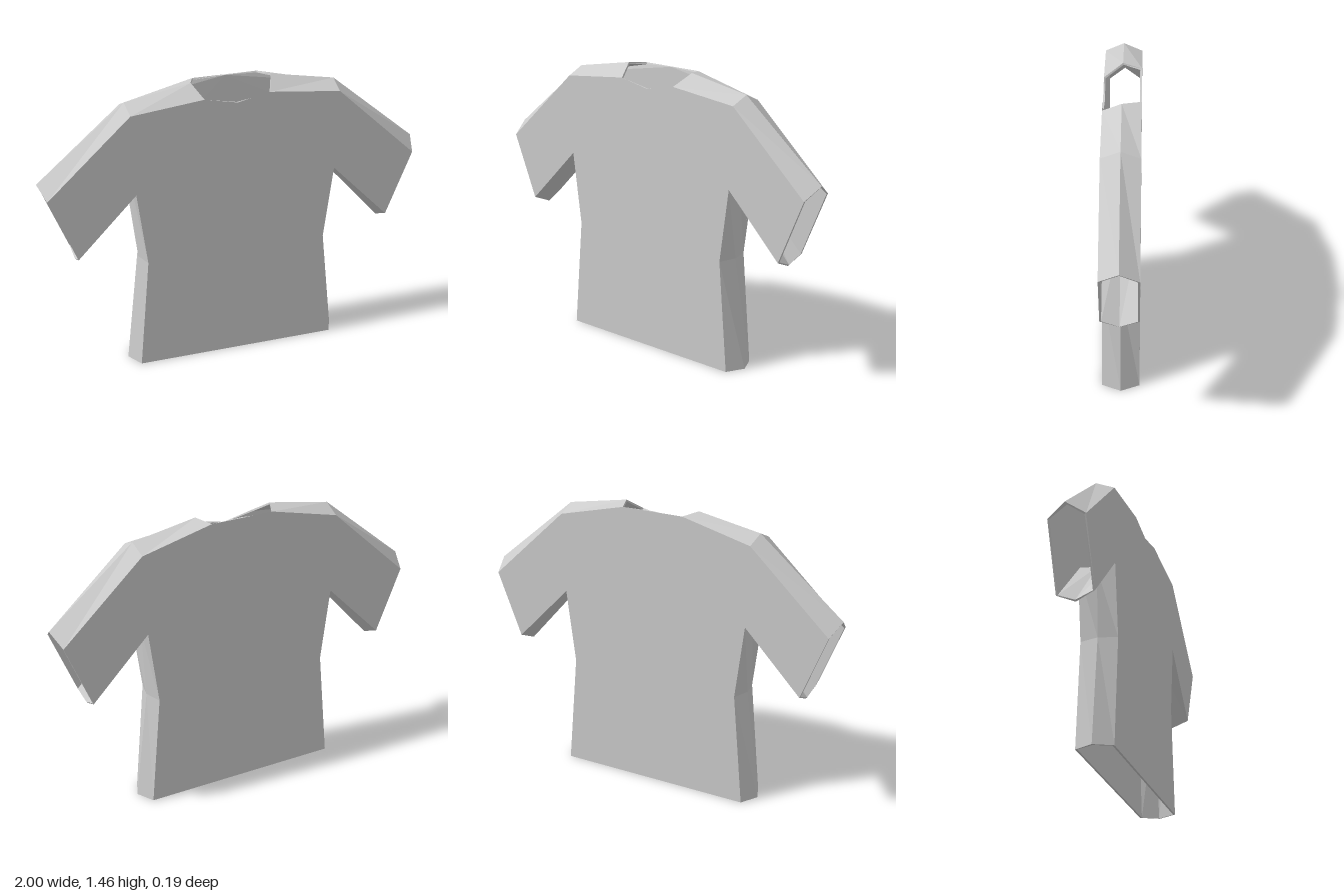
import * as THREE from 'three';

const DEPTH = 0.095; // half distance between the front and back panels
const WALL = 0.01;   // cloth thickness

// One half of the outline: [panel x, panel y, side ridge x, side ridge y]
const HALF = [
  [0.17, 1.40, 0.21, 1.46],   // neck
  [0.545, 1.36, 0.55, 1.40],  // shoulder
  [0.97, 0.975, 1.0, 1.035],  // cuff top
  [0.83, 0.645, 0.82, 0.605], // cuff bottom
  [0.527, 0.947, 0.52, 0.932],// armpit
  [0.475, 0.57, 0.50, 0.57],  // waist
  [0.525, 0, 0.57, 0],        // hem
];
const BACK_NECK = 1.45;

function shellGeometry(points, triangles) {
  const g = new THREE.BufferGeometry();
  g.setAttribute('position', new THREE.Float32BufferAttribute(points.flatMap(p => p.toArray()), 3));
  g.setIndex(triangles.flat());
  g.computeVertexNormals();
  return g;
}

export function createModel() {
  const group = new THREE.Group();
  group.name = 'shirt';
  const material = new THREE.MeshStandardMaterial({ color: 0xcccccc, flatShading: true });
  const add = (name, geometry) => {
    const flat = geometry.toNonIndexed();
    flat.computeVertexNormals();
    const mesh = new THREE.Mesh(flat, material);
    mesh.name = name;
    group.add(mesh);
  };

  // Full outline, clockwise from the front, closed by the middle of the neckline
  const mirrored = HALF.map(([x, y, rx, ry]) => [-x, y, -rx, ry]).reverse();
  const outline = [...HALF, ...mirrored, [0, 1.365, 0, 1.4]];
  const n = outline.length;
  const isNeck = i => i === 0 || i >= n - 2;
  const outer = [
    ...outline.map(([x, y]) => new THREE.Vector3(x, y, DEPTH)),
    ...outline.map(([, , x, y]) => new THREE.Vector3(x, y, 0)),
    ...outline.map(([x, y], i) => new THREE.Vector3(x, isNeck(i) ? BACK_NECK : y, -DEPTH)),
  ];

  // Front and back panels
  const tris = [];
  for (const [start, facing] of [[0, 1], [2 * n, -1]]) {
    const flat = outer.slice(start, start + n).map(p => new THREE.Vector2(p.x, p.y));
    for (const [a, b, c] of THREE.ShapeUtils.triangulateShape(flat, [])) {
      const area = THREE.ShapeUtils.area([flat[a], flat[b], flat[c]]);
      tris.push((area * facing > 0 ? [a, b, c] : [a, c, b]).map(i => i + start));
    }
  }

  // Folded side strips, skipping the cuffs, hem and neck openings
  for (let i = 0; i < n - 2; i++) {
    if (i === 2 || i === 6 || i === 10) continue;
    for (const row of [0, n]) {
      const a = row + i, b = a + 1, c = b + n, d = a + n;
      tris.push([a, b, c], [a, c, d]);
    }
  }
  const shell = shellGeometry(outer, tris);
  add('outerCloth', shell);

  // Lining: the same surface moved inward and facing inside
  const normals = shell.attributes.normal;
  const inner = outer.map((p, i) =>
    p.clone().addScaledVector(new THREE.Vector3().fromBufferAttribute(normals, i), -WALL));
  add('lining', shellGeometry(inner, tris.map(([a, b, c]) => [a, c, b])));

  // Rims close the cloth thickness along every open edge
  const edges = tris.flatMap(([a, b, c]) => [[a, b], [b, c], [c, a]]);
  const used = new Set(edges.map(e => e.join()));
  const m = outer.length;
  const rims = edges.filter(([a, b]) => !used.has([b, a].join()))
    .flatMap(([a, b]) => [[b, a, a + m], [b, a + m, b + m]]);
  add('openingRims', shellGeometry([...outer, ...inner], rims));

  return group;
}
